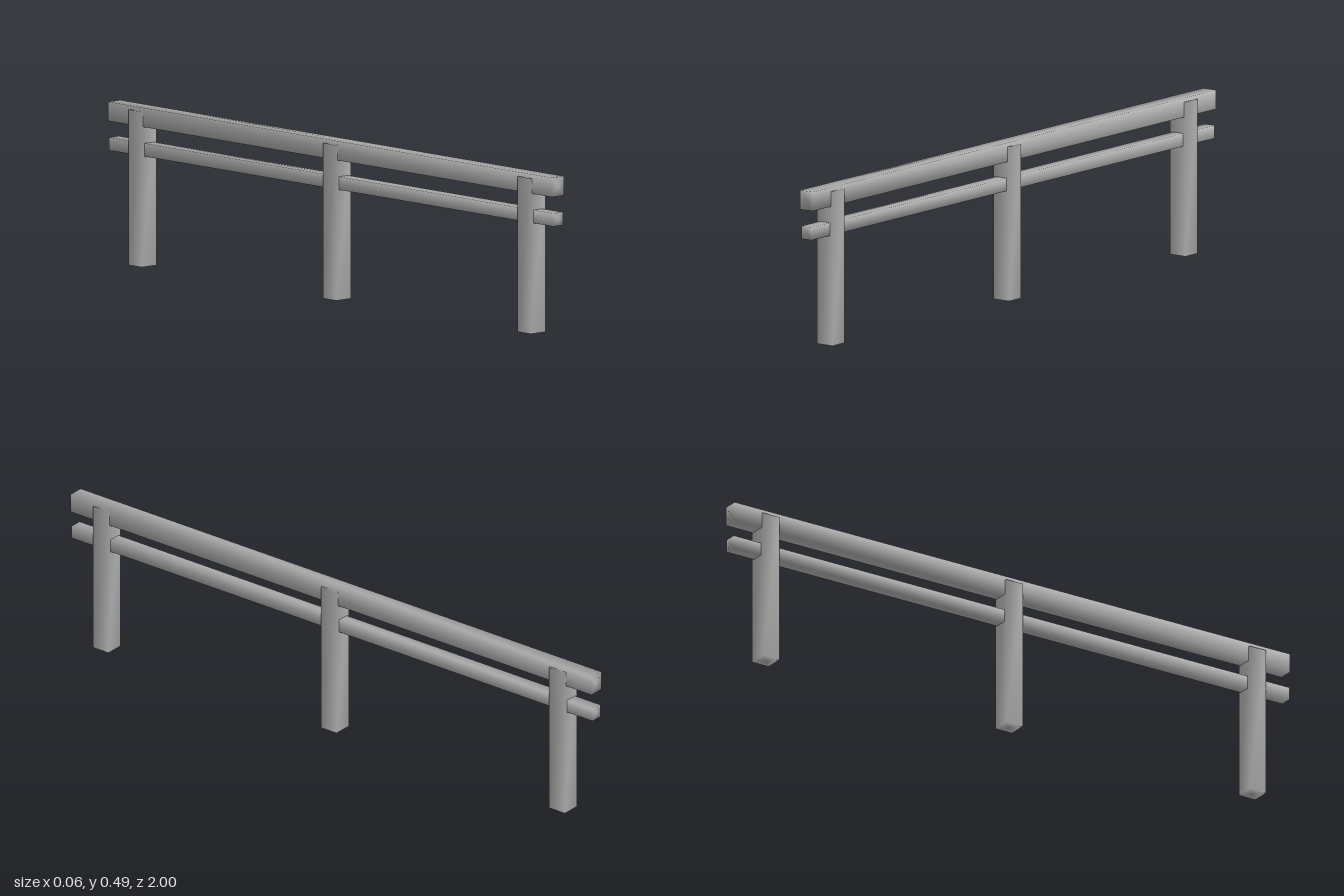
import * as THREE from 'three';
import { mergeVertices } from 'three/addons/utils/BufferGeometryUtils.js';

// Square beam of length 1 along y, with shading smoothed across its corners
function beamGeometry(width, height, depth) {
  let geometry = new THREE.CylinderGeometry(Math.SQRT1_2, Math.SQRT1_2, 1, 4);
  geometry.rotateY(Math.PI / 4);
  geometry.clearGroups();
  geometry.deleteAttribute('normal');
  geometry.deleteAttribute('uv');
  geometry = mergeVertices(geometry, 1e-4);
  geometry.scale(width, height, depth);
  geometry.computeVertexNormals();
  return geometry;
}

export function createModel() {
  const model = new THREE.Group();
  model.name = 'railFence';
  const grey = new THREE.MeshStandardMaterial({ color: 0xb0b0b0 });
  grey.name = 'grey';

  // Three upright posts
  const postGeometry = beamGeometry(0.06, 0.475, 0.06);
  for (const [name, z] of [['frontPost', 0.88], ['middlePost', 0.004], ['backPost', -0.872]]) {
    const post = new THREE.Mesh(postGeometry, grey);
    post.name = name;
    post.position.set(0, 0.2375, z);
    model.add(post);
  }

  // Two rails running through the posts
  const rails = [
    ['topRail', 0.049, 0.059, 0.458],
    ['lowerRail', 0.039, 0.04, 0.358],
  ];
  for (const [name, width, height, y] of rails) {
    const rail = new THREE.Mesh(beamGeometry(width, 2, height).rotateX(Math.PI / 2), grey);
    rail.name = name;
    rail.position.y = y;
    model.add(rail);
  }
  return model;
}
